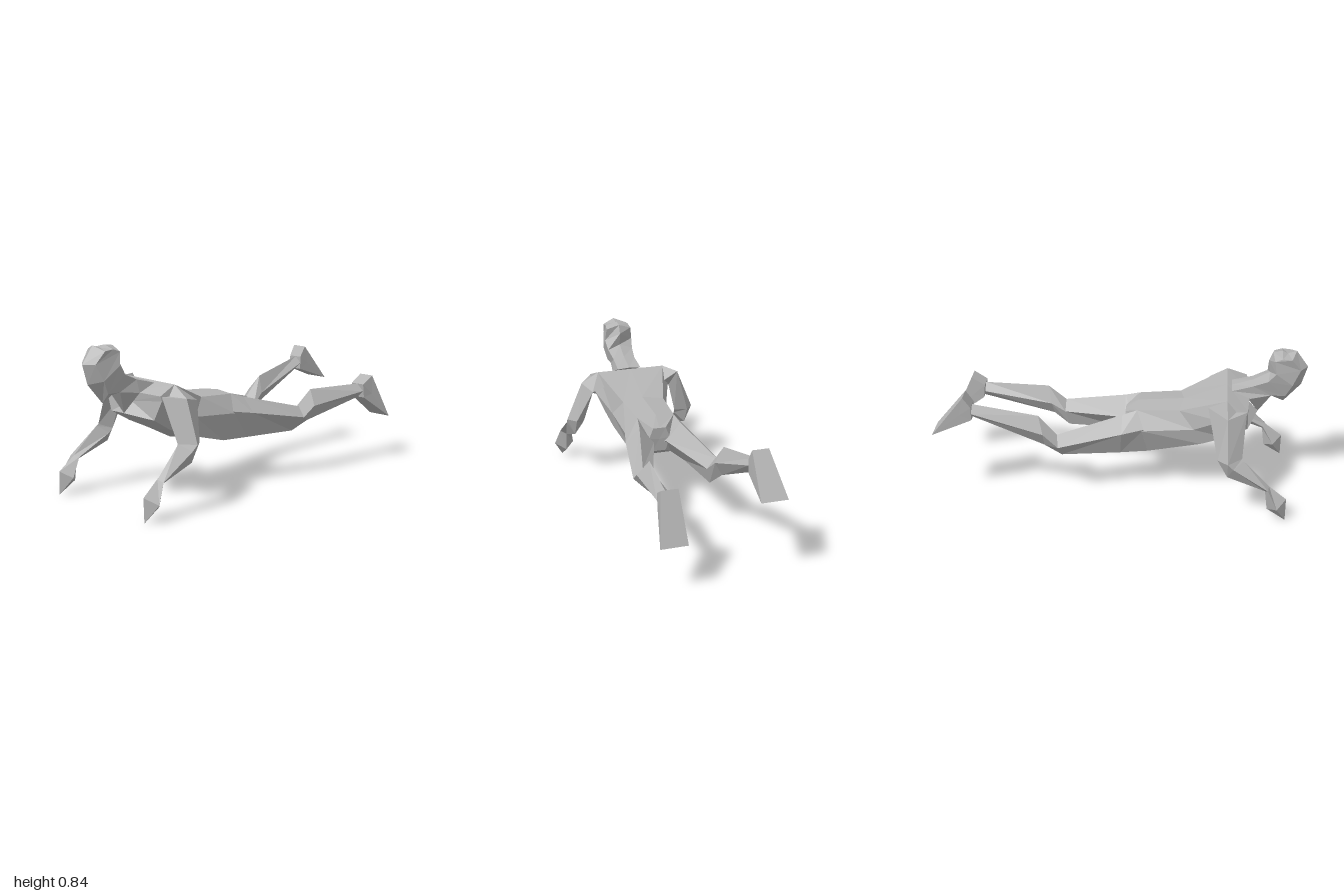
import * as THREE from 'three';

const skin = new THREE.MeshStandardMaterial({ color: 0xb4b4b4, flatShading: true });
skin.name = 'plain grey';

// Faceted skin over a row of cross-section rings, closed with a fan at both ends
function loft(name, rings) {
  const tris = [];
  const n = rings[0].length;
  for (let i = 0; i < rings.length - 1; i++) {
    for (let j = 0; j < n; j++) {
      const k = (j + 1) % n;
      const [a, b, c, d] = [rings[i][j], rings[i][k], rings[i + 1][k], rings[i + 1][j]];
      tris.push([a, b, c], [a, c, d]);
    }
  }
  const cap = (ring, flip) => {
    const mid = [0, 1, 2].map(q => ring.reduce((s, p) => s + p[q], 0) / n);
    ring.forEach((p, j) => {
      const next = ring[(j + 1) % n];
      tris.push(flip ? [mid, next, p] : [mid, p, next]);
    });
  };
  cap(rings[0], true);
  cap(rings[rings.length - 1], false);

  // Turn the faces outward whichever way the rings run
  const v = tris.map(t => t.map(p => new THREE.Vector3(...p)));
  const volume = v.reduce((s, [a, b, c]) => s + a.dot(b.clone().cross(c)), 0);
  const points = v.flatMap(([a, b, c]) => (volume < 0 ? [a, c, b] : [a, b, c]));
  const geometry = new THREE.BufferGeometry().setFromPoints(points);
  geometry.computeVertexNormals();
  const mesh = new THREE.Mesh(geometry, skin);
  mesh.name = name;
  return mesh;
}

// Completes a half ring (first and last point on the centre line)
const mirrorRing = half => [...half, ...half.slice(1, -1).reverse().map(([x, y, z]) => [-x, y, z])];
// Puts rings on the chosen side
const onSide = (side, rings) => rings.map(r => r.map(([x, y, z]) => [x * side, y, z]));

function createTorso() {
  // top centre, top side, flank, belly side, belly centre
  return loft('torso', [
    [[0, .585, .7], [.22, .585, .685], [.225, .56, .68], [.175, .455, .69], [0, .475, .745]],
    [[0, .63, .575], [.2, .63, .575], [.225, .52, .55], [.165, .39, .58], [0, .38, .59]],
    [[0, .535, .34], [.12, .52, .32], [.165, .43, .4], [.15, .335, .44], [0, .305, .44]],
    [[0, .515, .09], [.106, .505, .09], [.17, .41, .12], [.11, .255, .15], [0, .255, .15]],
    [[0, .46, .02], [.037, .46, .02], [.06, .4, .02], [.04, .32, .03], [0, .32, .03]],
  ].map(mirrorRing));
}

function createHead() {
  // front centre, front side, back side, back centre
  const neckTop = [[0, .58, .82], [.055, .6, .81], [.065, .655, .71], [0, .665, .71]];
  const neck = loft('neck', [
    [[0, .475, .745], [.075, .585, .7], [.07, .625, .6], [0, .63, .6]],
    neckTop,
  ].map(mirrorRing));
  const head = loft('head', [
    neckTop,
    [[0, .545, .88], [.055, .6, .885], [.075, .69, .79], [0, .715, .8]],
    [[0, .65, .97], [.07, .67, .92], [.083, .74, .83], [0, .785, .79]],
    [[0, .755, 1], [.055, .755, .96], [.075, .81, .82], [0, .835, .81]],
    [[0, .845, .935], [.07, .82, .91], [.07, .825, .86], [0, .843, .86]],
  ].map(mirrorRing));
  return [neck, head];
}

function createArm(side) {
  const word = side > 0 ? 'left' : 'right';
  const lift = side > 0 ? 0 : .075; // the right shoulder blade is raised
  // front, outer, back, inner
  const elbow = [[.33, .345, .675], [.387, .32, .62], [.345, .25, .59], [.29, .305, .62]];
  const wrist = [[.345, .205, .815], [.385, .195, .81], [.35, .175, .795], [.32, .195, .8]];
  const tip = [.355, .002, .91];
  return [
    loft(word + 'UpperArm', onSide(side, [
      [[.17, .58, .65], [.2, .63, .575], [.18, .56, .5], [.17, .48, .58]],
      [[.225, .58, .68], [.3, .57, .58], [.26, .545 + lift, .475], [.24, .505, .58]],
      [[.325, .355, .665], [.39, .35, .59], [.345, .35, .535], [.285, .33, .6]],
      elbow,
    ])),
    loft(word + 'Forearm', onSide(side, [elbow, wrist])),
    loft(word + 'Hand', onSide(side, [
      wrist,
      [[.35, .13, .91], [.41, .095, .86], [.35, .065, .81], [.295, .095, .86]],
      [tip, tip, tip, tip],
    ])),
  ];
}

function createLeg(side) {
  const word = side > 0 ? 'left' : 'right';
  // The right shin is lifted higher than the left
  const shin = side > 0
    ? { calf: 0, ankle: [[-.81, .465], [-.82, .385]], heel: [-.885, .51], toe: [-1, .257] }
    : { calf: .025, ankle: [[-.79, .575], [-.79, .5]], heel: [-.83, .635], toe: [-1, .425] };
  const [[topZ, topY], [lowZ, lowY]] = shin.ankle;
  const midY = (topY + lowY) / 2;
  // top, outer, bottom, inner
  const knee = [[.21, .39, -.34], [.26, .335, -.33], [.175, .247, -.32], [.15, .34, -.34]];
  const c = shin.calf;
  const foot = [
    [.2, .285, topZ, topY],
    [.2, .29, ...shin.heel],
    [.185, .33, ...shin.toe],
    [.2, .285, lowZ, lowY],
  ];
  return [
    loft(word + 'Thigh', onSide(side, [
      [[.106, .505, .09], [.17, .42, .13], [.11, .255, .15], [.01, .36, .06]],
      [[.12, .48, .01], [.2, .4, .01], [.14, .255, 0], [.037, .38, .01]],
      knee,
    ])),
    loft(word + 'Shin', onSide(side, [
      knee,
      [[.205, .475 + c, -.44], [.265, .39 + c, -.41], [.21, .3 + c, -.41], [.165, .38 + c, -.42]],
      [[.24, topY, topZ], [.285, midY, topZ], [.24, lowY, lowZ], [.2, midY, topZ]],
    ])),
    loft(word + 'Foot', onSide(side, [
      foot.map(([inner, , z, y]) => [inner, y, z]),
      foot.map(([, outer, z, y]) => [outer, y, z]),
    ])),
  ];
}

export function createModel() {
  const model = new THREE.Group();
  model.name = 'proneFigure';
  model.add(createTorso(), ...createHead());
  for (const side of [1, -1]) model.add(...createArm(side), ...createLeg(side));
  return model;
}
